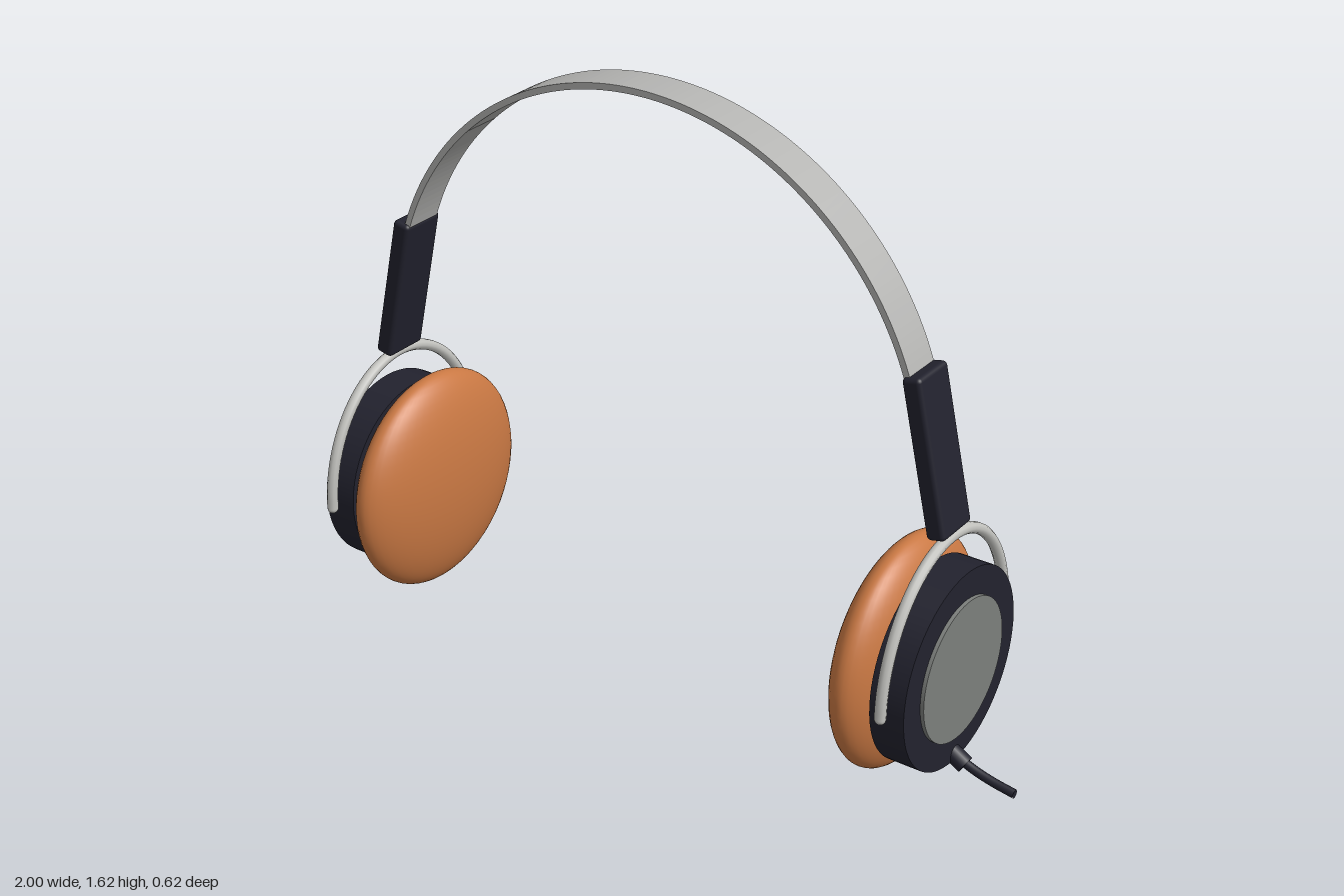
import * as THREE from 'three';
import { RoundedBoxGeometry } from 'three/addons/geometries/RoundedBoxGeometry.js';

const material = (name, color, side = THREE.FrontSide) => {
  const m = new THREE.MeshStandardMaterial({ color, side });
  m.name = name;
  return m;
};

export function createModel() {
  const steel = material('brushed steel', 0xb4b4b2);
  const wire = material('bright wire', 0xc2c2be);
  const plate = material('grey plate', 0x7c7f7c);
  const plastic = material('dark plastic', 0x22222e);
  const foam = material('orange foam', 0xc97843);

  const model = new THREE.Group();
  model.name = 'headphones';
  const body = new THREE.Group();
  body.name = 'headset';
  body.position.x = -0.08; // leaves room for the cable on the left
  model.add(body);

  const add = (parent, name, geometry, mat, x = 0, y = 0, z = 0) => {
    const mesh = new THREE.Mesh(geometry, mat);
    mesh.name = name;
    mesh.position.set(x, y, z);
    parent.add(mesh);
    return mesh;
  };

  // Headband: a thin flat strip bent along a circular arc
  const start = THREE.MathUtils.degToRad(17);
  const arc = new THREE.Shape();
  arc.absarc(0, 0, 0.812, start, Math.PI - start, false);
  arc.absarc(0, 0, 0.795, Math.PI - start, start, true);
  const band = new THREE.ExtrudeGeometry(arc, { depth: 0.11, bevelEnabled: false, curveSegments: 48 });
  add(body, 'headband', band, steel, 0, 0.814, -0.055);

  // Wire yoke: half an ellipse over the ear cup
  const cupY = 0.315;
  const yokePoints = [];
  for (let i = 0; i <= 24; i++) {
    const a = (i / 24) * Math.PI;
    yokePoints.push(new THREE.Vector3(0, Math.sin(a) * 0.355, Math.cos(a) * 0.295));
  }
  const yokeCurve = new THREE.CatmullRomCurve3(yokePoints);

  for (const side of [1, -1]) {
    const ear = new THREE.Group();
    ear.name = side > 0 ? 'leftEar' : 'rightEar';
    body.add(ear);

    // Slider joining the band to the yoke
    const slider = add(ear, 'slider', new RoundedBoxGeometry(0.052, 0.415, 0.132, 3, 0.012),
      plastic, side * 0.815, 0.888);
    slider.rotation.z = side * 0.215;

    add(ear, 'yoke', new THREE.TubeGeometry(yokeCurve, 48, 0.015, 10), wire, side * 0.863, cupY);
    for (const z of [0.295, -0.295]) {
      add(ear, 'yokeTip', new THREE.SphereGeometry(0.015, 10, 8), wire, side * 0.863, cupY, z);
    }

    // Cup, outer plate and foam pad, all turned about the x axis
    const cup = add(ear, 'earCup', new THREE.CylinderGeometry(0.266, 0.266, 0.095, 64), plastic, side * 0.8625, cupY);
    cup.rotation.z = Math.PI / 2;
    const cap = add(ear, 'outerPlate', new THREE.CylinderGeometry(0.19, 0.19, 0.02, 64), plate, side * 0.91, cupY);
    cap.rotation.z = Math.PI / 2;
    const pad = add(ear, 'earPad', new THREE.SphereGeometry(0.31, 48, 32), foam, side * 0.75, cupY);
    pad.scale.x = 0.313;
  }

  // Cable leaving the left cup through a strain relief
  const bootCurve = new THREE.LineCurve3(new THREE.Vector3(0.79, 0.085, 0), new THREE.Vector3(0.86, 0.043, 0));
  add(model, 'cableBoot', new THREE.TubeGeometry(bootCurve, 1, 0.024, 16), plastic);
  const bootEnd = add(model, 'cableBootEnd', new THREE.CircleGeometry(0.024, 16), plastic, 0.86, 0.043, 0);
  bootEnd.lookAt(0.93, 0.001, 0);
  const cableCurve = new THREE.CatmullRomCurve3([
    new THREE.Vector3(0.84, 0.056, 0), new THREE.Vector3(0.89, 0.037, 0),
    new THREE.Vector3(0.94, 0.024, 0), new THREE.Vector3(1, 0.014, 0)]);
  add(model, 'cable', new THREE.TubeGeometry(cableCurve, 16, 0.012, 10), plastic);
  const cableEnd = add(model, 'cableEnd', new THREE.CircleGeometry(0.012, 10), plastic, 1, 0.014, 0);
  cableEnd.rotation.y = Math.PI / 2;

  return model;
}
